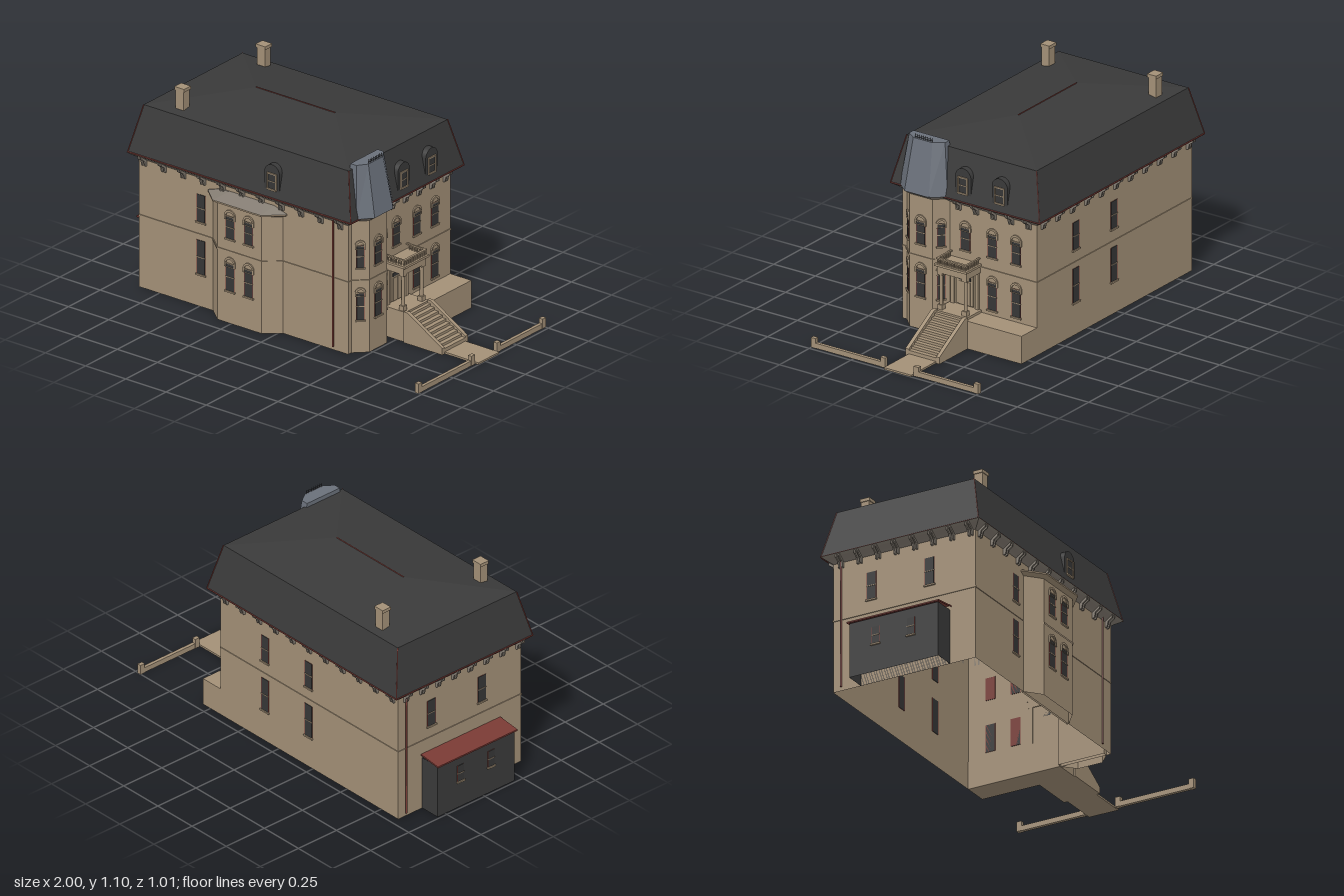
import * as THREE from 'three';

const mat = (name, color) => new THREE.MeshStandardMaterial({ name, color, side: THREE.DoubleSide });
const stone = mat('stone', 0xa39077);
const slate = mat('dark slate', 0x3a3a3a);
const metal = mat('blue grey metal', 0x6a707a);
const red = mat('red trim', 0x7a3a34);
const glass = mat('dark glass', 0x363636);
const trim = mat('grey trim', 0x857d73);

export function createModel() {
  const root = new THREE.Group();
  root.name = 'townhouse';

  const add = (geo, m, name, parent = root) => {
    const mesh = new THREE.Mesh(geo, m);
    mesh.name = name;
    parent.add(mesh);
    return mesh;
  };
  // box from min and max corners
  const box = (x0, x1, y0, y1, z0, z1, m, name, parent = root) => {
    const mesh = add(new THREE.BoxGeometry(x1 - x0, y1 - y0, z1 - z0), m, name, parent);
    mesh.position.set((x0 + x1) / 2, (y0 + y1) / 2, (z0 + z1) / 2);
    return mesh;
  };
  // flat-sided skin through rings of [x, y, z]
  const loft = (rings, cap) => {
    const p = [];
    const n = rings[0].length;
    for (let r = 0; r < rings.length - 1; r++) {
      for (let i = 0; i < n; i++) {
        const j = (i + 1) % n, a = rings[r][i], b = rings[r][j], c = rings[r + 1][j], d = rings[r + 1][i];
        p.push(...a, ...b, ...c, ...a, ...c, ...d);
      }
    }
    const top = rings[rings.length - 1];
    if (cap) for (let i = 1; i < n - 1; i++) p.push(...top[0], ...top[i], ...top[i + 1]);
    const g = new THREE.BufferGeometry();
    g.setAttribute('position', new THREE.Float32BufferAttribute(p, 3));
    g.computeVertexNormals();
    return g;
  };
  const ring = (pts, y) => pts.map(([x, z]) => [x, y, z]);
  const rect = (x0, x1, z0, z1) => [[x0, z1], [x1, z1], [x1, z0], [x0, z0]];
  const bodyRect = (o) => rect(-0.875 - o, 0.425 + o, -0.457 - o, 0.35 + o);
  const rod = (a, b, r, m, name) => {
    const va = new THREE.Vector3(...a), vb = new THREE.Vector3(...b), d = vb.clone().sub(va);
    const mesh = add(new THREE.CylinderGeometry(r, r, d.length(), 6), m, name);
    mesh.position.copy(va).add(vb).multiplyScalar(0.5);
    mesh.quaternion.setFromUnitVectors(new THREE.Vector3(0, 1, 0), d.normalize());
  };
  const archShape = (r, y0, y1) => {
    const s = new THREE.Shape();
    s.moveTo(-r, y0);
    s.lineTo(r, y0);
    s.lineTo(r, y1);
    s.absarc(0, y1, r, 0, Math.PI, false);
    return s;
  };
  const extrude = (s, depth) => new THREE.ExtrudeGeometry(s, { depth, bevelEnabled: false, curveSegments: 10 });
  // group standing on a wall, facing along angle ry
  const spot = (x, z, ry, name) => {
    const g = new THREE.Group();
    g.name = name;
    g.position.set(x, 0, z);
    g.rotation.y = ry;
    root.add(g);
    return g;
  };
  // sash window: casing, panes, rails, sill and optional arched hood
  const windowAt = (x, z, ry, y0, y1, w, arched) => {
    const g = spot(x, z, ry, 'window'), h = w / 2, ym = (y0 + y1) / 2;
    box(-h, h, y0, y1, -0.003, 0.002, red, 'casing', g);
    box(-h + 0.003, h - 0.003, y0, y1, -0.003, 0.003, glass, 'panes', g);
    box(-h, h, ym - 0.002, ym + 0.002, 0, 0.005, stone, 'sashRail', g);
    box(-h - 0.004, h + 0.004, y0 - 0.008, y0, 0, 0.009, stone, 'sill', g);
    if (!arched) return;
    const s = archShape(h + 0.006, y1 - 0.02, y1);
    s.holes.push(archShape(h - 0.002, y1 - 0.019, y1 - 0.003));
    add(extrude(s, 0.007), stone, 'archedHood', g);
    box(-h, h, y1 - 0.004, y1, 0, 0.006, stone, 'headRail', g);
  };
  const E = Math.PI / 2;
  const lower = [0.175, 0.322], upper = [0.455, 0.575];

  // main walls, belt course and cornice
  add(loft([ring(bodyRect(0), 0), ring(bodyRect(0), 0.725)]), stone, 'mainWalls');
  add(loft([[0, 0.38], [0.003, 0.381], [0.003, 0.389], [0, 0.39]].map(([o, y]) => ring(bodyRect(o), y))), stone, 'beltCourse');
  add(loft([[0, 0.69], [0.012, 0.7], [0.035, 0.716], [0.046, 0.726]].map(([o, y]) => ring(bodyRect(o), y))), trim, 'cornice');

  // mansard roof with low hipped top
  const eave = rect(-0.915, 0.472, -0.505, 0.39), brk = rect(-0.86, 0.415, -0.447, 0.333);
  const ridge = [[-0.467, -0.057], [0.022, -0.057], [0.022, -0.057], [-0.467, -0.057]];
  add(loft([ring(eave, 0.728), ring(brk, 0.975), ring(ridge, 1.04)]), slate, 'mansardRoof');
  eave.forEach((e, i) => {
    const f = eave[(i + 1) % 4];
    rod([e[0], 0.727, e[1]], [f[0], 0.727, f[1]], 0.004, red, 'gutter');
    rod([e[0], 0.728, e[1]], [brk[i][0], 0.975, brk[i][1]], 0.003, red, 'hipFlashing');
  });
  rod([-0.467, 1.04, -0.057], [0.022, 1.04, -0.057], 0.003, red, 'ridgeFlashing');

  // cornice brackets on all four sides
  const bracket = (x, z, ry) => {
    const s = new THREE.Shape([[0, 0.66], [0.012, 0.662], [0.018, 0.69], [0.04, 0.705], [0.042, 0.724], [0, 0.724]]
      .map(([a, b]) => new THREE.Vector2(a, b)));
    const g = spot(x, z, ry - E, 'cornicePair');
    for (const o of [-0.013, 0.005]) add(extrude(s, 0.008), trim, 'bracket', g).position.z = o;
  };
  for (let i = 0; i < 11; i++) {
    const x = -0.84 + i * 0.122;
    bracket(x, 0.35, 0);
    bracket(x, -0.457, Math.PI);
  }
  for (let i = 0; i < 8; i++) {
    const z = -0.41 + i * 0.105;
    if (z < 0.05) bracket(0.425, z, E);
    bracket(-0.875, z, -E);
  }

  // corner tower bay with faceted metal roof and iron cresting
  const tower = (o) => [[0.4, 0.325 + o], [0.425 + o, 0.325 + o], [0.488 + o, 0.264 + o / 2],
    [0.488 + o, 0.125 - o / 2], [0.425 + o, 0.067 - o], [0.4, 0.067 - o]];
  add(loft([ring(tower(0), 0), ring(tower(0), 0.725)]), stone, 'towerWalls');
  add(loft([ring(tower(0.004), 0.38), ring(tower(0.004), 0.39)], true), stone, 'towerBelt');
  const tBase = [[0.4, 0.337], [0.465, 0.337], [0.525, 0.268], [0.525, 0.122], [0.465, 0.052], [0.4, 0.052]];
  const tTop = [[0.4, 0.302], [0.437, 0.302], [0.473, 0.252], [0.473, 0.138], [0.437, 0.087], [0.4, 0.087]];
  add(loft([ring(tower(0), 0.705), ring(tBase, 0.73)]), trim, 'towerCornice');
  add(loft([ring(tBase, 0.73), ring(tTop, 1.0)], true), metal, 'towerRoof');
  for (let i = 0; i < 9; i++) {
    const z = 0.142 + i * 0.0128;
    rod([0.468, 1.0, z], [0.468, 1.022, z], 0.0012, slate, 'crestingSpike');
  }
  for (const y of [1.006, 1.015]) rod([0.468, y, 0.142], [0.468, y, 0.245], 0.0012, slate, 'crestingRail');
  for (const [a, b] of [lower, upper]) {
    windowAt(0.488, 0.195, E, a, b, 0.055, true);
    windowAt(0.4565, 0.2945, Math.atan2(0.061, 0.063), a, b, 0.042, true);
    windowAt(0.4565, 0.096, Math.atan2(0.058, -0.063), a, b, 0.042, true);
  }

  // two-storey side bay
  const bay = (o) => [[-0.415 - o, 0.34], [-0.415 - o, 0.35 + o / 2], [-0.335 - o / 2, 0.418 + o],
    [-0.06 + o / 2, 0.418 + o], [0.02 + o, 0.35 + o / 2], [0.02 + o, 0.34]];
  add(loft([ring(bay(0), 0), ring(bay(0), 0.635)]), stone, 'sideBayWalls');
  add(loft([ring(bay(0.004), 0.38), ring(bay(0.004), 0.39)], true), stone, 'sideBayBelt');
  add(loft([ring(bay(0), 0.625), ring(bay(0.024), 0.638), ring(bay(0.024), 0.646)]), stone, 'sideBayCornice');
  const bTop = [[-0.36, 0.34], [-0.36, 0.352], [-0.31, 0.36], [-0.085, 0.36], [-0.035, 0.352], [-0.035, 0.34]];
  add(loft([ring(bay(0.024), 0.646), ring(bTop, 0.67)], true), trim, 'sideBayRoof');
  for (const x of [-0.255, -0.14]) for (const [a, b] of [lower, upper]) windowAt(x, 0.418, 0, a, b, 0.055, true);

  // windows on the flat walls
  for (const [a, b] of [[0.175, 0.355], [0.455, 0.6]]) {
    windowAt(-0.49, 0.35, 0, a, b, 0.055, false);
    for (const x of [0.1, -0.22]) windowAt(x, -0.457, Math.PI, a, b, 0.055, false);
  }
  for (const z of [-0.24, 0.09]) windowAt(-0.875, z, -E, 0.455, 0.6, 0.055, false);
  for (const z of [-0.028, -0.19, -0.333]) windowAt(0.425, z, E, ...upper, 0.056, true);
  for (const z of [-0.19, -0.333]) windowAt(0.425, z, E, ...lower, 0.056, true);

  // arched dormers
  for (const [x, z, ry] of [[0.463, -0.04, E], [0.463, -0.26, E], [-0.025, 0.381, 0]]) {
    const g = spot(x, z, ry, 'dormer');
    add(extrude(archShape(0.047, 0.755, 0.856), 0.07), slate, 'dormerHousing', g).position.z = -0.07;
    windowAt(x, z, ry, 0.775, 0.852, 0.05, false);
    for (const s of [-1, 1]) box(s * 0.027 - 0.003, s * 0.027 + 0.003, 0.77, 0.855, 0, 0.007, stone, 'dormerJamb', g);
    box(-0.03, 0.03, 0.852, 0.858, 0, 0.007, stone, 'dormerHead', g);
  }

  // chimneys
  for (const z of [-0.38, 0.262]) {
    box(-0.7, -0.65, 0.96, 1.095, z - 0.023, z + 0.023, stone, 'chimney');
    box(-0.705, -0.645, 1.083, 1.1, z - 0.027, z + 0.027, stone, 'chimneyCap');
  }

  // rear lean-to, open below
  const wing = rect(-0.988, -0.875, -0.3, 0.205);
  add(loft([ring(wing, 0), ring(wing, 0.29)]), slate, 'rearWingWalls');
  const wingRoof = rect(-1, -0.87, -0.308, 0.213);
  const tilt = (dy) => wingRoof.map(([x, z]) => [x, (x < -0.9 ? 0.289 : 0.305) + dy, z]);
  add(loft([tilt(0), tilt(0.008)], true), red, 'rearWingRoof');
  for (const z of [-0.15, 0.05]) windowAt(-0.988, z, -E, 0.15, 0.24, 0.045, false);

  // drainpipes
  rod([0.335, 0.02, 0.357], [0.335, 0.72, 0.357], 0.005, red, 'drainpipe');
  rod([-0.882, 0.02, -0.41], [-0.882, 0.72, -0.41], 0.005, red, 'drainpipe');

  // entrance: door, porch, columns, canopy and balustrade
  const door = spot(0.425, -0.028, E, 'frontDoor');
  box(-0.05, 0.05, 0.165, 0.335, 0, 0.006, stone, 'doorFrame', door);
  box(-0.036, 0.036, 0.295, 0.315, 0, 0.008, glass, 'transom', door);
  for (const s of [-0.019, 0.019]) box(s - 0.015, s + 0.015, 0.165, 0.288, 0, 0.009, stone, 'doorLeaf', door);
  box(0.42, 0.555, 0, 0.16, -0.125, 0.065, stone, 'porchBase');
  box(0.42, 0.555, 0, 0.147, -0.457, -0.125, stone, 'sideTerrace');
  for (const z of [0.045, -0.101]) {
    box(0.512, 0.54, 0.16, 0.185, z - 0.014, z + 0.014, stone, 'columnBase');
    rod([0.526, 0.18, z], [0.526, 0.345, z], 0.01, stone, 'column');
    box(0.512, 0.54, 0.343, 0.355, z - 0.014, z + 0.014, stone, 'columnCapital');
    box(0.42, 0.436, 0.16, 0.355, z - 0.01, z + 0.01, stone, 'pilaster');
  }
  box(0.42, 0.542, 0.355, 0.392, -0.117, 0.061, stone, 'canopy');
  box(0.42, 0.555, 0.392, 0.404, -0.125, 0.069, stone, 'canopyCornice');
  box(0.535, 0.548, 0.428, 0.435, -0.116, 0.06, stone, 'frontHandrail');
  for (let i = 0; i < 13; i++) {
    const z = -0.112 + i * 0.014;
    box(0.538, 0.545, 0.404, 0.428, z - 0.003, z + 0.003, stone, 'baluster');
  }
  for (const z of [-0.112, 0.056]) {
    box(0.425, 0.548, 0.428, 0.435, z - 0.005, z + 0.005, stone, 'sideHandrail');
    for (let x = 0.44; x < 0.53; x += 0.016) box(x, x + 0.006, 0.404, 0.428, z - 0.003, z + 0.003, stone, 'baluster');
  }

  // front steps with sloping cheek walls
  const N = 10;
  for (let i = 0; i < N; i++) {
    const x = 0.55 + i * 0.024;
    box(x, x + 0.024, 0, 0.15 - i * 0.0135, -0.112, 0.052, stone, 'step');
  }
  const cheek = new THREE.Shape([[0.55, 0], [0.79, 0], [0.79, 0.035], [0.575, 0.165], [0.55, 0.165]]
    .map(([a, b]) => new THREE.Vector2(a, b)));
  for (const z of [-0.132, 0.052]) add(extrude(cheek, 0.02), stone, 'cheekWall').position.z = z;

  // path and low street wall
  box(0.79, 1.0, 0, 0.01, -0.112, 0.052, stone, 'path');
  for (const [a, b] of [[-0.503, -0.115], [0.057, 0.503]]) {
    box(0.963, 0.981, 0, 0.027, a, b, stone, 'streetWall');
    for (const z of [a, b - 0.028]) box(0.961, 0.983, 0, 0.052, z, z + 0.028, stone, 'wallPost');
  }
  return root;
}
